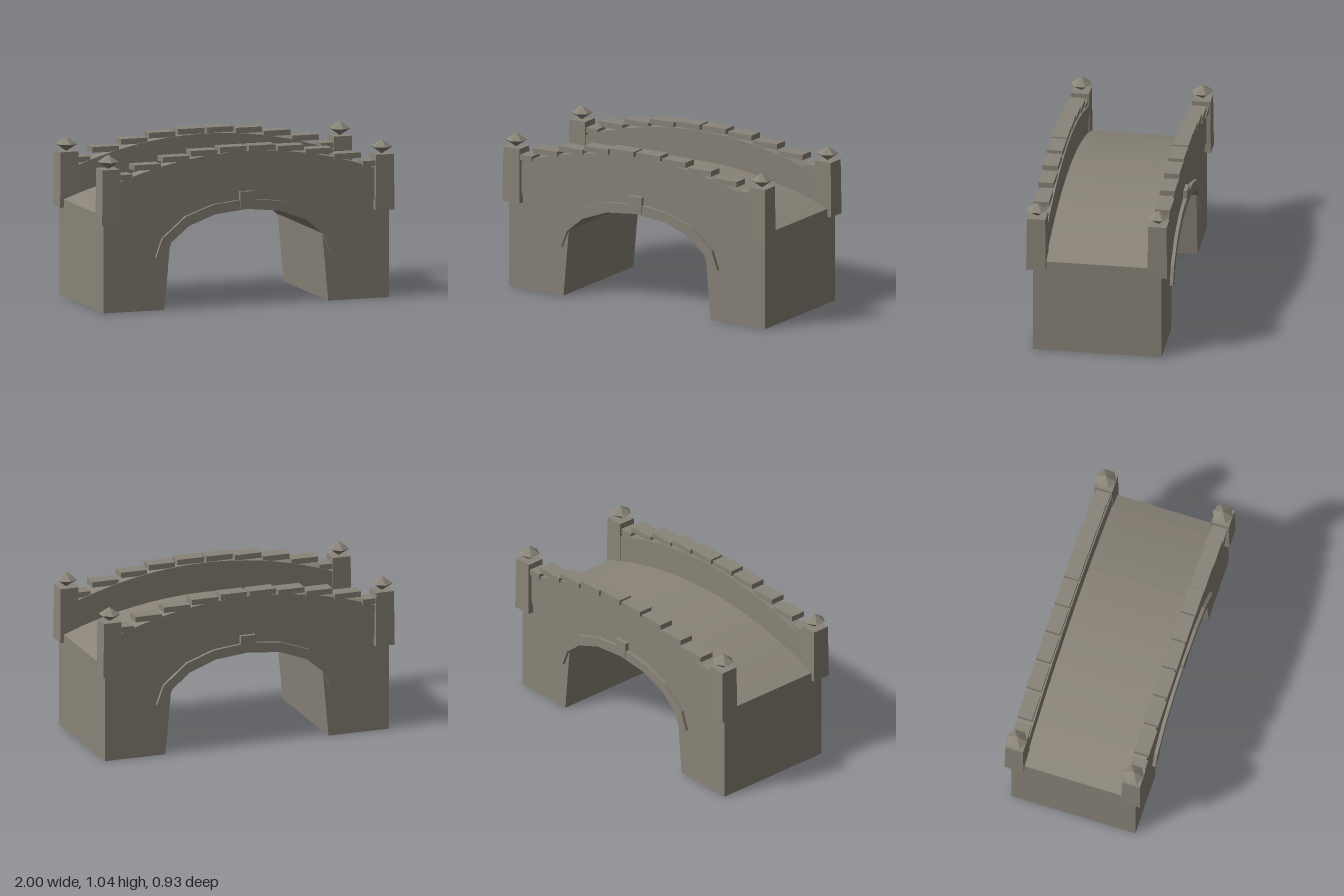
import * as THREE from 'three';

const stone = new THREE.MeshStandardMaterial({ color: 0x8a8478, flatShading: true });
stone.name = 'stone';

// Arch opening, right half, from the foot to the crown
const intrados = [[0.56, 0], [0.52, 0.44], [0.4, 0.54], [0.22, 0.607], [0, 0.63]];
// Arch ring stones: matching inner and outer points
const ringIn = [[0.565, 0.325], [0.52, 0.44], [0.4, 0.54], [0.22, 0.607], [0, 0.63]];
const ringOut = [[0.625, 0.345], [0.58, 0.468], [0.42, 0.603], [0.232, 0.67], [0, 0.695]];

// Points along a shallow parabola from x0 to x1
function arc(x0, x1, crown, drop, n = 20) {
  return Array.from({ length: n + 1 }, (_, i) => {
    const x = x0 + (x1 - x0) * i / n;
    return [x, crown - drop * x * x];
  });
}

// Extrudes a closed outline between two z positions
function slab(name, points, z0, z1) {
  const shape = new THREE.Shape(points.map(([x, y]) => new THREE.Vector2(x, y)));
  const geo = new THREE.ExtrudeGeometry(shape, { depth: z1 - z0, bevelEnabled: false });
  geo.translate(0, 0, z0);
  const mesh = new THREE.Mesh(geo, stone);
  mesh.name = name;
  return mesh;
}

function box(name, w, h, d, x, y, z) {
  const mesh = new THREE.Mesh(new THREE.BoxGeometry(w, h, d), stone);
  mesh.name = name;
  mesh.position.set(x, y, z);
  return mesh;
}

// Square corner post, slightly narrower at the top, with a six-sided finial
function cornerPost(sx) {
  const post = new THREE.Group();
  post.name = 'cornerPost';
  const geo = new THREE.BoxGeometry(0.13, 0.36, 0.128);
  const p = geo.attributes.position;
  for (let i = 0; i < p.count; i++) {
    if (p.getY(i) > 0) p.setXYZ(i, p.getX(i) * 0.93, p.getY(i), p.getZ(i) * 0.93);
  }
  const shaft = new THREE.Mesh(geo, stone);
  shaft.name = 'postShaft';
  shaft.position.y = 0.756;
  const gem = new THREE.Mesh(new THREE.SphereGeometry(0.07, 6, 2), stone);
  gem.name = 'finial';
  gem.scale.y = 0.68;
  gem.rotation.y = Math.PI / 2;
  gem.position.y = 0.981;
  post.add(shaft, gem);
  post.position.set(sx * 0.935, 0, 0.394);
  return post;
}

// One side: parapet, coping, arch ring, keystone and posts
function side() {
  const g = new THREE.Group();
  g.add(slab('parapet', [
    ...arc(-0.93, 0.93, 0.785, 0.19),
    ...arc(0.93, -0.93, 1.005, 0.205),
  ], 0.336, 0.43));

  // Stepped coping stones: centre x, middle height
  const coping = [[0.099, 1.023], [0.296, 1.01], [0.489, 0.98], [0.684, 0.938], [0.877, 0.88]];
  for (const sx of [-1, 1]) {
    coping.forEach(([x, y]) => g.add(box('copingStone', 0.18, 0.036, 0.1, sx * x, y, 0.394)));

    for (let i = 0; i < ringIn.length - 1; i++) {
      const quad = [ringIn[i], ringOut[i], ringOut[i + 1], ringIn[i + 1]];
      g.add(slab('archStone', quad.map(([x, y]) => [sx * x, y]), 0.41, 0.44));
    }
    g.add(cornerPost(sx));
  }
  g.add(box('keystone', 0.1, 0.11, 0.045, 0, 0.69, 0.4215));
  return g;
}

export function createModel() {
  const bridge = new THREE.Group();
  bridge.name = 'stoneBridge';

  // Main body with the arch cut out
  const left = intrados.slice(0, -1).map(([x, y]) => [-x, y]);
  bridge.add(slab('bridgeBody', [
    [-0.975, 0], ...left, ...[...intrados].reverse(), [0.975, 0],
    ...arc(0.975, -0.975, 0.785, 0.19),
  ], -0.418, 0.418));

  // Walkway between the parapets
  bridge.add(slab('walkway', [
    ...arc(-0.975, 0.975, 0.775, 0.19),
    ...arc(0.975, -0.975, 0.808, 0.187),
  ], -0.34, 0.34));

  const front = side();
  front.name = 'frontSide';
  const back = side();
  back.name = 'backSide';
  back.rotation.y = Math.PI;
  bridge.add(front, back);
  return bridge;
}
